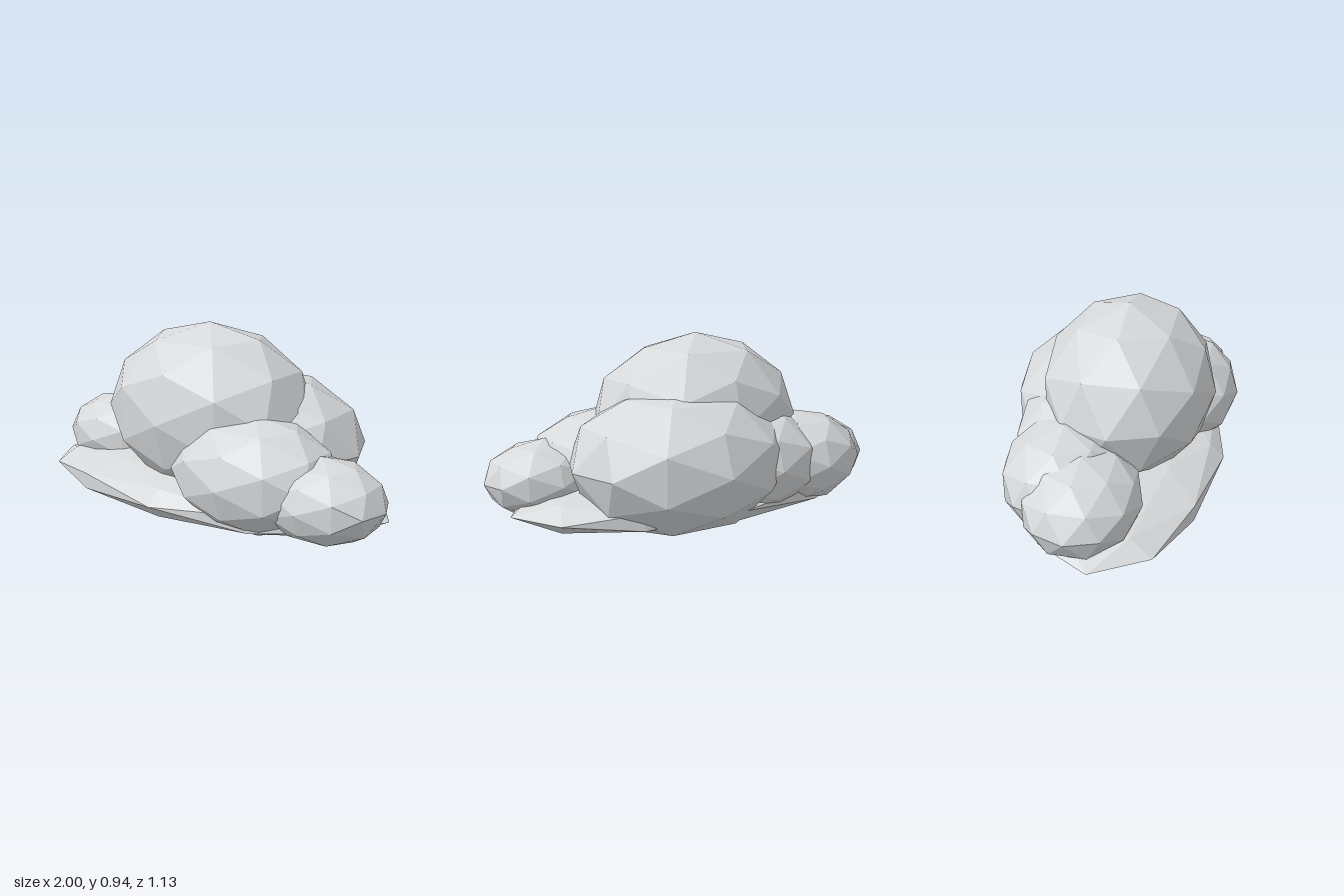
import * as THREE from 'three';

// Each puff: name, centre, radii
const puffs = [
  ['flatBase', [-0.03, 0.15, 0.06], [0.97, 0.13, 0.475]],
  ['mainDome', [-0.03, 0.52, 0.05], [0.54, 0.425, 0.425]],
  ['backPuff', [0.15, 0.36, -0.11], [0.555, 0.36, 0.457]],
  ['backFillPuff', [-0.2, 0.32, -0.14], [0.42, 0.27, 0.33]],
  ['rightBackPuff', [-0.51, 0.3, -0.15], [0.36, 0.24, 0.29]],
  ['rightPuff', [-0.67, 0.28, -0.035], [0.33, 0.21, 0.27]],
  ['leftFrontPuff', [0.36, 0.315, 0.25], [0.41, 0.27, 0.315]],
  ['leftTipPuff', [0.7, 0.265, 0.245], [0.3, 0.19, 0.24]],
];

export function createModel() {
  const group = new THREE.Group();
  group.name = 'cloud';
  const cloudGrey = new THREE.MeshStandardMaterial({ color: 0xd6d8da, flatShading: true });
  cloudGrey.name = 'cloudGrey';

  // Low-poly ball stretched into every puff
  const ball = new THREE.IcosahedronGeometry(1, 1);
  for (const [name, centre, radii] of puffs) {
    const puff = new THREE.Mesh(ball, cloudGrey);
    puff.name = name;
    puff.position.set(...centre);
    puff.scale.set(...radii);
    group.add(puff);
  }
  return group;
}
